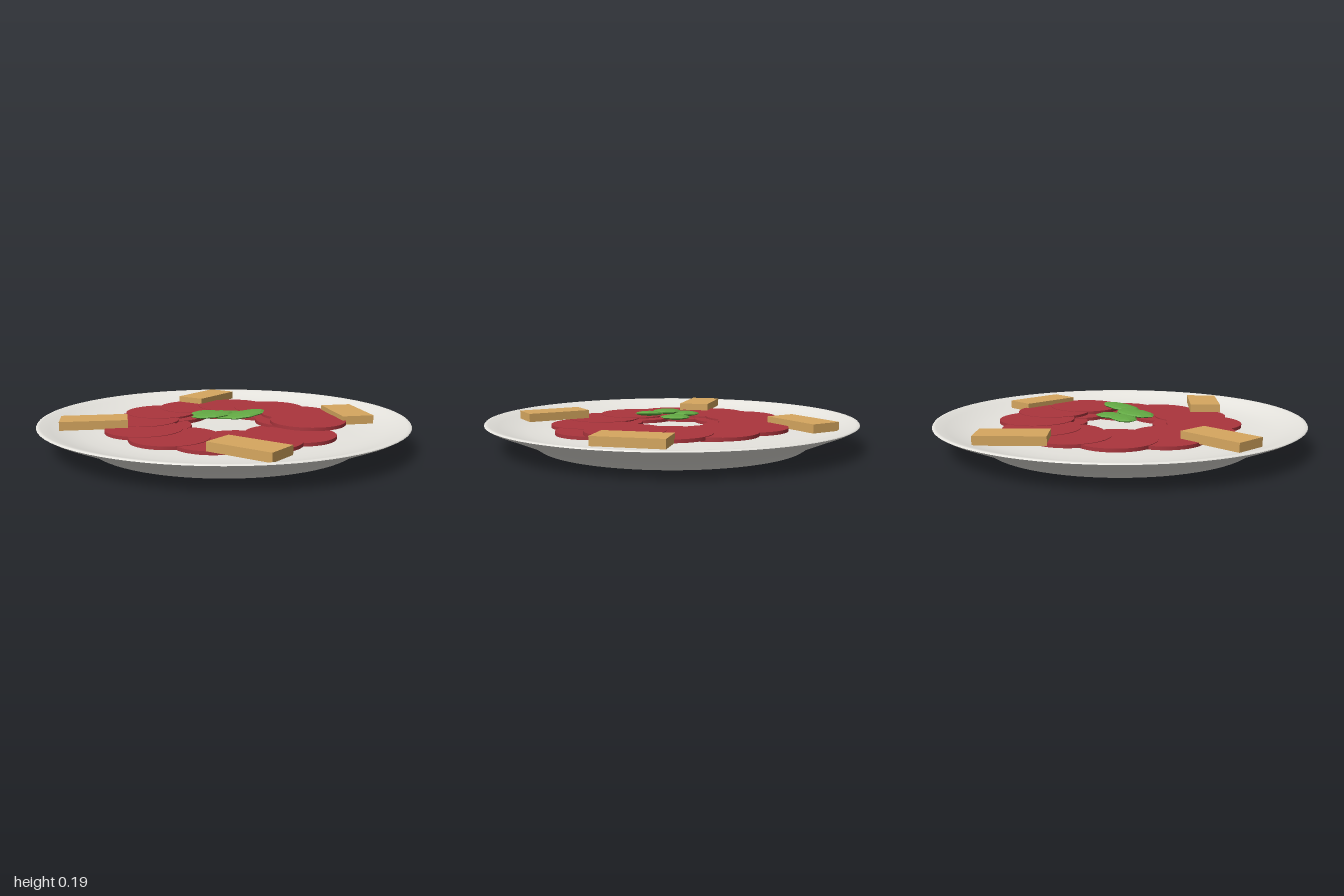
import * as THREE from 'three';

const mat = (name, color, extra = {}) => {
  const m = new THREE.MeshStandardMaterial({ color, ...extra });
  m.name = name;
  return m;
};

export function createModel() {
  const model = new THREE.Group();
  const porcelain = mat('porcelain', 0xf0eee8);
  const meat = mat('cured meat red', 0xab353d);
  const toast = mat('toast brown', 0xd6a75f);
  const leaf = mat('leaf green', 0x62a843, { flatShading: true });

  const add = (name, geometry, material, x = 0, y = 0, z = 0, parent = model) => {
    const mesh = new THREE.Mesh(geometry, material);
    mesh.name = name;
    mesh.position.set(x, y, z);
    parent.add(mesh);
    return mesh;
  };
  const lathe = (pts) => new THREE.LatheGeometry(pts.map(([r, y]) => new THREE.Vector2(r, y)), 80);

  // Plate: flat foot, flared outside, shallow dish inside
  add('plateFoot', lathe([[0, 0], [0.73, 0]]), porcelain);
  add('plateOutside', lathe([[0.73, 0], [0.775, 0.032], [0.87, 0.073], [0.975, 0.117], [1, 0.132]]), porcelain);
  add('plateDish', lathe([[1, 0.132], [0.996, 0.138], [0.98, 0.138], [0.93, 0.122], [0.86, 0.102],
    [0.78, 0.088], [0.68, 0.081], [0.55, 0.08], [0, 0.08]]), porcelain);

  // Two overlapping rings of thin round slices, each rising in turn
  const slices = new THREE.Group();
  slices.name = 'meatSlices';
  model.add(slices);
  const disc = new THREE.CylinderGeometry(0.205, 0.205, 0.018, 40);
  const ring = (name, count, radius, low, high) => {
    for (let i = 0; i < count; i++) {
      const a = (i / count) * Math.PI * 2;
      const y = low + (high - low) * i / (count - 1);
      add(name, disc, meat, Math.cos(a) * radius, y, Math.sin(a) * radius, slices);
    }
  };
  ring('innerSlice', 8, 0.385, 0.09, 0.106);
  ring('outerSlice', 12, 0.459, 0.094, 0.122);

  // Four toasts around the edge
  const toastBox = new THREE.BoxGeometry(0.354, 0.046, 0.175);
  for (const [x, z, turn] of [[0.5, 0.495, 0], [0.493, -0.505, -0.75], [-0.502, -0.497, -1.54], [-0.495, 0.5, 0.79]]) {
    add('toast', toastBox, toast, x, 0.132, z).rotation.y = turn;
  }

  // Faceted leaves in the middle: centre, half length, half width, turn, tilt
  const leafBall = new THREE.SphereGeometry(1, 8, 6);
  const leaves = [
    [0, 0.145, -0.035, 0.1, 0.075, 1.57, 0.05],
    [-0.1, 0.152, 0.025, 0.09, 0.07, 0.4, 0.05],
    [-0.018, 0.163, 0.085, 0.118, 0.08, 0.95, 0.06],
    [0.14, 0.17, 0.002, 0.118, 0.074, 1.05, 0.12],
  ];
  for (const [x, y, z, length, width, turn, tilt] of leaves) {
    const m = add('leaf', leafBall, leaf, x, y, z);
    m.scale.set(length, 0.014, width);
    m.rotation.set(0, turn, tilt, 'YXZ');
  }
  return model;
}
